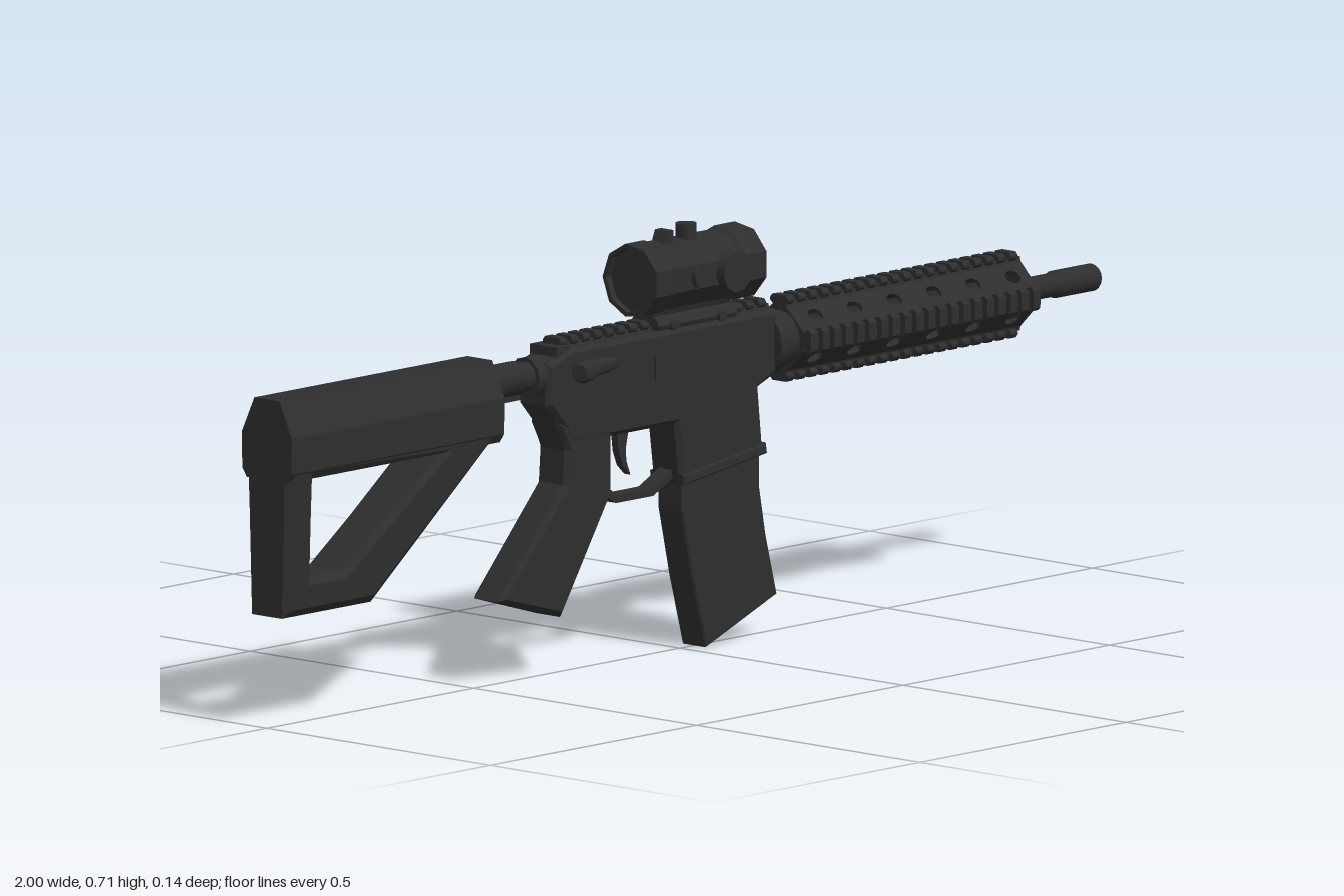
import * as THREE from 'three';
import { mergeGeometries, toCreasedNormals } from 'three/addons/utils/BufferGeometryUtils.js';

const AXIS_Y = 0.487; // height of the barrel axis

const shapeOf = (pts, hole) => {
  const s = new THREE.Shape(pts.map(([x, y]) => new THREE.Vector2(x, y)));
  if (hole) s.holes.push(new THREE.Path(hole.map(([x, y]) => new THREE.Vector2(x, y))));
  return s;
};

// Side outline (x, y) made into a slab of half-width w with chamfered edges
function slab(pts, w, bevel = 0, hole) {
  const g = new THREE.ExtrudeGeometry(shapeOf(pts, hole), {
    depth: 2 * (w - bevel), bevelEnabled: bevel > 0, bevelSize: bevel,
    bevelOffset: -bevel, bevelThickness: bevel, bevelSegments: 1,
  });
  return g.translate(0, 0, -(w - bevel));
}

// Half cross-section (z, y), mirrored in z and swept along x
function sweep(half, x0, x1) {
  const pts = [...half, ...half.map(([z, y]) => [-z, y]).reverse()];
  const g = new THREE.ExtrudeGeometry(shapeOf(pts), { depth: x1 - x0, bevelEnabled: false });
  return g.rotateY(Math.PI / 2).translate(x0, 0, 0);
}

// Turned part along x from (radius, x) pairs
function turned(profile, sides, y, start = 0) {
  const g = new THREE.LatheGeometry(profile.map(([r, x]) => new THREE.Vector2(r, x)), sides, start);
  return toCreasedNormals(g.rotateZ(-Math.PI / 2).translate(0, y, 0), 0.55);
}

const box = (x0, x1, y0, y1, z0, z1) =>
  new THREE.BoxGeometry(x1 - x0, y1 - y0, z1 - z0)
    .translate((x0 + x1) / 2, (y0 + y1) / 2, (z0 + z1) / 2);

// Toothed accessory rail; y is measured up from its base
function rail(x0, x1, base) {
  const parts = [sweep([[0.018, 0], [0.013, base]], x0, x1)];
  const n = Math.round((x1 - x0) / 0.028), pitch = (x1 - x0) / n;
  for (let i = 0; i < n; i++) {
    const x = x0 + i * pitch;
    parts.push(sweep([[0.013, base - 0.006], [0.02, base], [0.02, base + 0.004], [0.015, base + 0.01]],
      x, x + pitch * 0.58));
  }
  return mergeGeometries(parts);
}

export function createModel() {
  const model = new THREE.Group();
  model.name = 'rifle';
  const black = new THREE.MeshStandardMaterial({ color: 0x2e2e2e });
  black.name = 'matte black';
  const add = (name, geometry, parent = model) => {
    const mesh = new THREE.Mesh(geometry, black);
    mesh.name = name;
    parent.add(mesh);
    return mesh;
  };

  // Shoulder stock: faceted upper tube and open triangular frame
  add('stockTube', sweep([[0.045, 0.415], [0.055, 0.43], [0.056, 0.49], [0.028, 0.55]], -1, -0.485));
  const frame = slab(
    [[-1, 0.46], [-1, 0.187], [-0.785, 0.187], [-0.485, 0.432], [-0.485, 0.46]], 0.054, 0.013,
    [[-0.935, 0.415], [-0.935, 0.25], [-0.86, 0.25], [-0.62, 0.415]]);
  const p = frame.attributes.position;
  for (let i = 0; i < p.count; i++) { // narrower towards the toe
    p.setZ(i, p.getZ(i) * (0.81 + 0.19 * (p.getY(i) - 0.19) / 0.26));
  }
  frame.computeVertexNormals();
  add('stockFrame', frame);

  // Rod joining stock and receiver
  add('stockRod', turned([[0, -0.5], [0.029, -0.5], [0.029, -0.4], [0.025, -0.395], [0.025, -0.34], [0, -0.34]], 16, 0.505));
  add('stockRodRib', box(-0.5, -0.4, 0.47, 0.49, -0.013, 0.013));
  add('stockRodNut', turned([[0, -0.375], [0.034, -0.375], [0.034, -0.345], [0, -0.345]], 12, 0.503));

  // Receiver
  add('receiver', slab([
    [-0.355, 0.525], [-0.355, 0.455], [-0.315, 0.41], [-0.305, 0.385], [-0.045, 0.385], [-0.032, 0.285],
    [0.168, 0.315], [0.157, 0.42], [0.2, 0.437], [0.2, 0.545], [-0.3, 0.545]], 0.036, 0.008));
  add('magazineWellLip', slab([[-0.033, 0.298], [-0.03, 0.28], [0.172, 0.308], [0.169, 0.326]], 0.039, 0.003));
  add('receiverRail', rail(-0.31, 0.2, 0.012).translate(0, 0.54, 0));
  add('chargingHandle', box(-0.33, -0.3, 0.525, 0.55, -0.03, 0.03));
  add('chargingLatch', slab([[-0.235, 0.53], [-0.235, 0.515], [-0.2, 0.515], [-0.2, 0.53]], 0.008, 0.003).translate(0, 0, -0.038));

  // Slanted forward assist on the front side
  const assist = add('forwardAssist', turned(
    [[0, -0.065], [0.014, -0.065], [0.018, -0.058], [0.018, -0.035], [0.014, -0.03], [0.014, 0.06], [0, 0.075]], 14, 0));
  assist.position.set(-0.24, 0.507, 0.038);
  assist.rotation.y = Math.PI * 0.09;
  add('ejectionCover', box(-0.1, 0.08, 0.465, 0.505, 0.034, 0.039));

  // Controls on the far side
  add('boltCatch', slab([[-0.05, 0.415], [-0.05, 0.375], [-0.03, 0.375], [-0.03, 0.4], [-0.015, 0.415]], 0.006).translate(0, 0, -0.041));
  const lever = add('selectorLever', slab([[-0.008, 0.008], [-0.004, -0.045], [0.006, -0.045], [0.01, 0.008]], 0.005, 0.002));
  lever.position.set(-0.245, 0.44, -0.04);

  // Pistol grip
  add('grip', slab([
    [-0.33, 0.425], [-0.308, 0.375], [-0.312, 0.318], [-0.47, 0.143], [-0.318, 0.098],
    [-0.197, 0.288], [-0.197, 0.4]], 0.035, 0.009));

  // Trigger and guard
  add('triggerGuard', slab([
    [-0.205, 0.305], [-0.165, 0.28], [-0.085, 0.28], [-0.035, 0.305], [-0.032, 0.29], [-0.08, 0.267],
    [-0.168, 0.267], [-0.205, 0.288]], 0.014));
  add('trigger', slab([
    [-0.16, 0.39], [-0.155, 0.35], [-0.145, 0.325], [-0.127, 0.308], [-0.137, 0.333], [-0.138, 0.355], [-0.13, 0.39]], 0.007));

  // Curved magazine
  add('magazine', slab([
    [-0.025, 0.31], [-0.024, 0.235], [0.002, 0.12], [0.035, 0], [0.207, 0.067], [0.18, 0.17], [0.165, 0.25], [0.165, 0.33]], 0.028, 0.003));

  // Barrel with open bore
  add('barrel', turned([
    [0, 0.2], [0.02, 0.2], [0.02, 0.9], [0.023, 0.905], [0.023, 0.997], [0.021, 1], [0.014, 1], [0.014, 0.95], [0, 0.95]], 16, AXIS_Y));
  add('barrelNut', turned([[0, 0.19], [0.053, 0.19], [0.053, 0.215], [0.047, 0.22], [0.047, 0.245], [0, 0.245]], 16, AXIS_Y));

  // Handguard: four rails with pierced diagonal panels between them
  const guard = new THREE.Group();
  guard.name = 'handguard';
  guard.position.y = AXIS_Y;
  model.add(guard);
  const panelShape = shapeOf([[0.24, -0.026], [0.808, -0.026], [0.808, 0.026], [0.24, 0.026]]);
  for (let i = 0; i < 6; i++) {
    const x = 0.29 + i * 0.0955, slot = [];
    for (let k = 0; k < 8; k++) {
      const a = (k + 0.5) * Math.PI / 4;
      slot.push(new THREE.Vector2(x + 0.017 * Math.cos(a), 0.013 * Math.sin(a)));
    }
    panelShape.holes.push(new THREE.Path(slot));
  }
  const panel = new THREE.ExtrudeGeometry(panelShape, { depth: 0.006, bevelEnabled: false });
  panel.translate(0, 0, 0.044);
  const guardRail = rail(0.24, 0.808, 0.02).translate(0, 0.042, 0);
  for (let i = 0; i < 4; i++) {
    add('handguardRail', guardRail, guard).rotation.x = i * Math.PI / 2;
    add('handguardPanel', panel, guard).rotation.x = (i + 0.5) * Math.PI / 2;
  }
  for (const x of [0.24, 0.79]) {
    add('handguardEndRing', turned([[0, x], [0.051, x], [0.051, x + 0.012], [0, x + 0.012]], 8, 0, Math.PI / 8), guard);
  }

  // Optic: nine-sided tube with recessed lenses
  const optic = new THREE.Group();
  optic.name = 'optic';
  model.add(optic);
  add('opticTube', turned([
    [0, -0.108], [0.054, -0.108], [0.054, -0.12], [0.062, -0.12], [0.062, -0.075], [0.059, -0.07], [0.059, 0.09],
    [0.064, 0.096], [0.064, 0.145], [0.058, 0.145], [0.058, 0.135], [0, 0.135]], 9, 0.63, Math.PI), optic);
  const cap = (r, h, sides) => toCreasedNormals(new THREE.CylinderGeometry(r, r, h, sides), 0.55);
  add('elevationCap', cap(0.018, 0.035, 12).translate(0.015, 0.692, 0), optic);
  add('topLug', slab([[-0.055, 0.68], [-0.03, 0.68], [-0.03, 0.705], [-0.045, 0.705]], 0.014), optic);
  add('sideKnob', cap(0.034, 0.03, 16).rotateX(Math.PI / 2).translate(0.063, 0.63, 0.058), optic);
  add('windageCap', cap(0.018, 0.012, 12).rotateX(Math.PI / 2).translate(-0.015, 0.63, 0.06), optic);

  // Optic mount with clamp bolts
  add('mountBase', sweep([[0.028, 0.543], [0.032, 0.552], [0.025, 0.564], [0.018, 0.567], [0.024, 0.588]], -0.085, 0.105), optic);
  for (const x of [-0.05, 0.065]) {
    add('clampBolt', cap(0.009, 0.076, 10).rotateX(Math.PI / 2).translate(x, 0.551, 0), optic);
  }
  return model;
}
